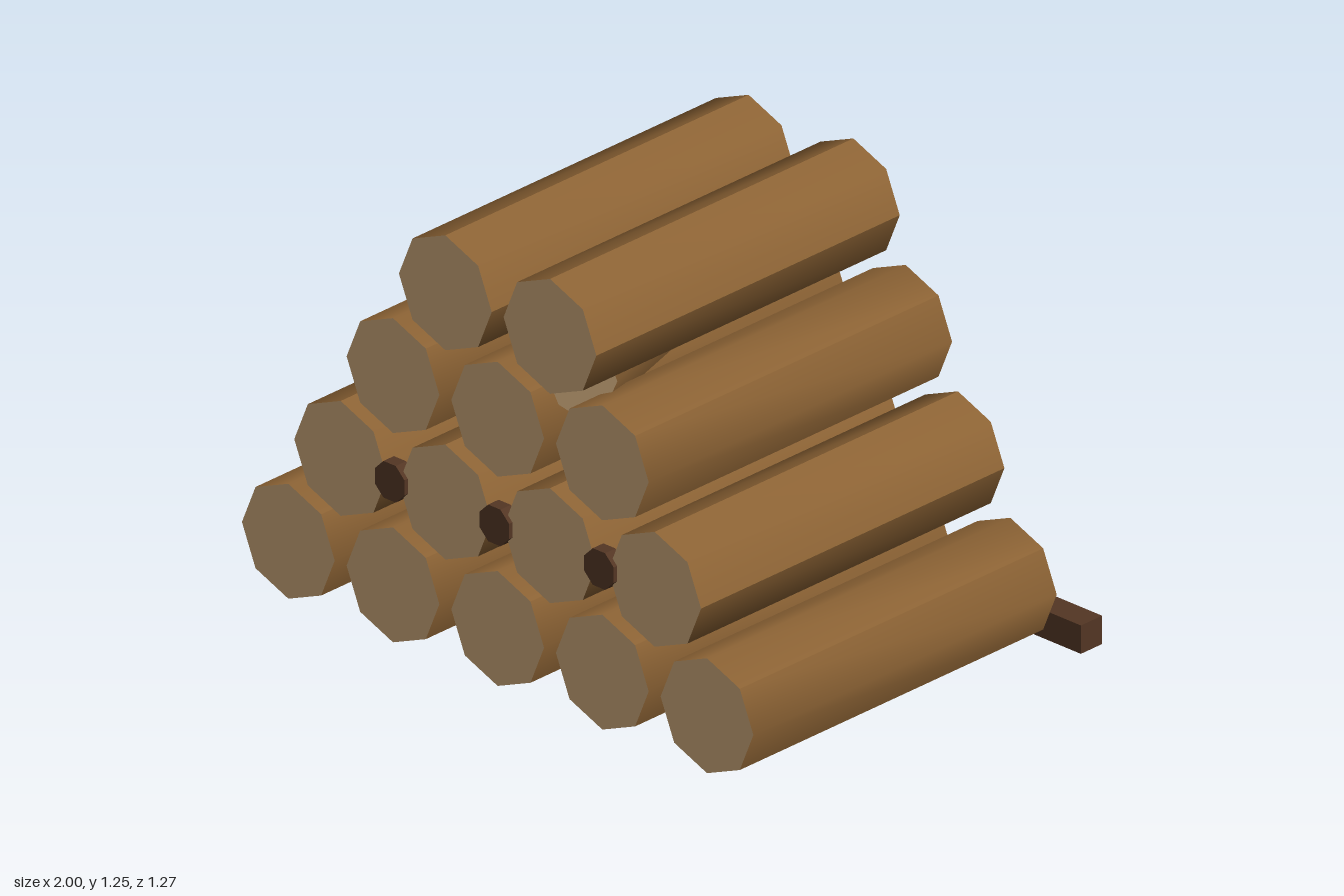
import * as THREE from 'three';
import { mergeGeometries } from 'three/addons/utils/BufferGeometryUtils.js';

const bark = new THREE.MeshStandardMaterial({ color: 0x8b6234 });
bark.name = 'bark';
const cutWood = new THREE.MeshStandardMaterial({ color: 0xc4a276 });
cutWood.name = 'cutWood';
const darkWood = new THREE.MeshStandardMaterial({ color: 0x533624 });
darkWood.name = 'darkWood';

// Eight-sided bark, shaded softly across pairs of sides with a crease between pairs
function barkGeometry(radius, length, start) {
  const quarters = [];
  for (let i = 0; i < 4; i++) {
    const quarter = new THREE.CylinderGeometry(
      radius, radius, length, 2, 1, true, start + i * Math.PI / 2, Math.PI / 2);
    quarter.computeVertexNormals();
    quarters.push(quarter);
  }
  return mergeGeometries(quarters).rotateX(Math.PI / 2);
}

// Log lying along z with a pale cut face at each end
function makeLog(name, radius, length, start) {
  const log = new THREE.Group();
  log.name = name;
  const body = new THREE.Mesh(barkGeometry(radius, length, start), bark);
  body.name = 'logBark';
  log.add(body);
  for (const side of [1, -1]) {
    const end = new THREE.Mesh(new THREE.CircleGeometry(radius, 8), cutWood);
    end.name = side > 0 ? 'frontCutEnd' : 'backCutEnd';
    end.position.z = side * length / 2;
    if (side < 0) end.rotation.y = Math.PI;
    log.add(end);
  }
  return log;
}

export function createModel() {
  const model = new THREE.Group();
  model.name = 'logPile';

  // Stacked rows of five, four, three and two logs
  const radius = 0.168, spacing = 0.379, rise = 0.306;
  [5, 4, 3, 2].forEach((count, row) => {
    for (let i = 0; i < count; i++) {
      const log = makeLog('log', radius, 1.158, row % 2 ? 0 : Math.PI / 4);
      log.position.set((i - (count - 1) / 2) * spacing, radius + row * rise, 0.041);
      model.add(log);
    }
  });

  // Thinner log lying askew under the top pair
  const skewLog = makeLog('skewLog', 0.125, 1.17, Math.PI / 4);
  skewLog.position.set(0.015, 0.947, -0.035);
  skewLog.rotation.y = 0.3;
  model.add(skewLog);

  // Dark pegs between the second-row logs
  for (const x of [-spacing, 0, spacing]) {
    const geometry = new THREE.CylinderGeometry(0.058, 0.058, 0.04, 8).toNonIndexed();
    geometry.rotateY(Math.PI / 8).rotateX(Math.PI / 2);
    geometry.computeVertexNormals();
    const peg = new THREE.Mesh(geometry, darkWood);
    peg.name = 'peg';
    peg.position.set(x, radius + rise, 0.613);
    model.add(peg);
  }

  // Rail along the ground behind the pile
  const rail = new THREE.Mesh(new THREE.BoxGeometry(2, 0.083, 0.081), darkWood);
  rail.name = 'backRail';
  rail.position.set(0, 0.056, -0.5925);
  model.add(rail);

  return model;
}
